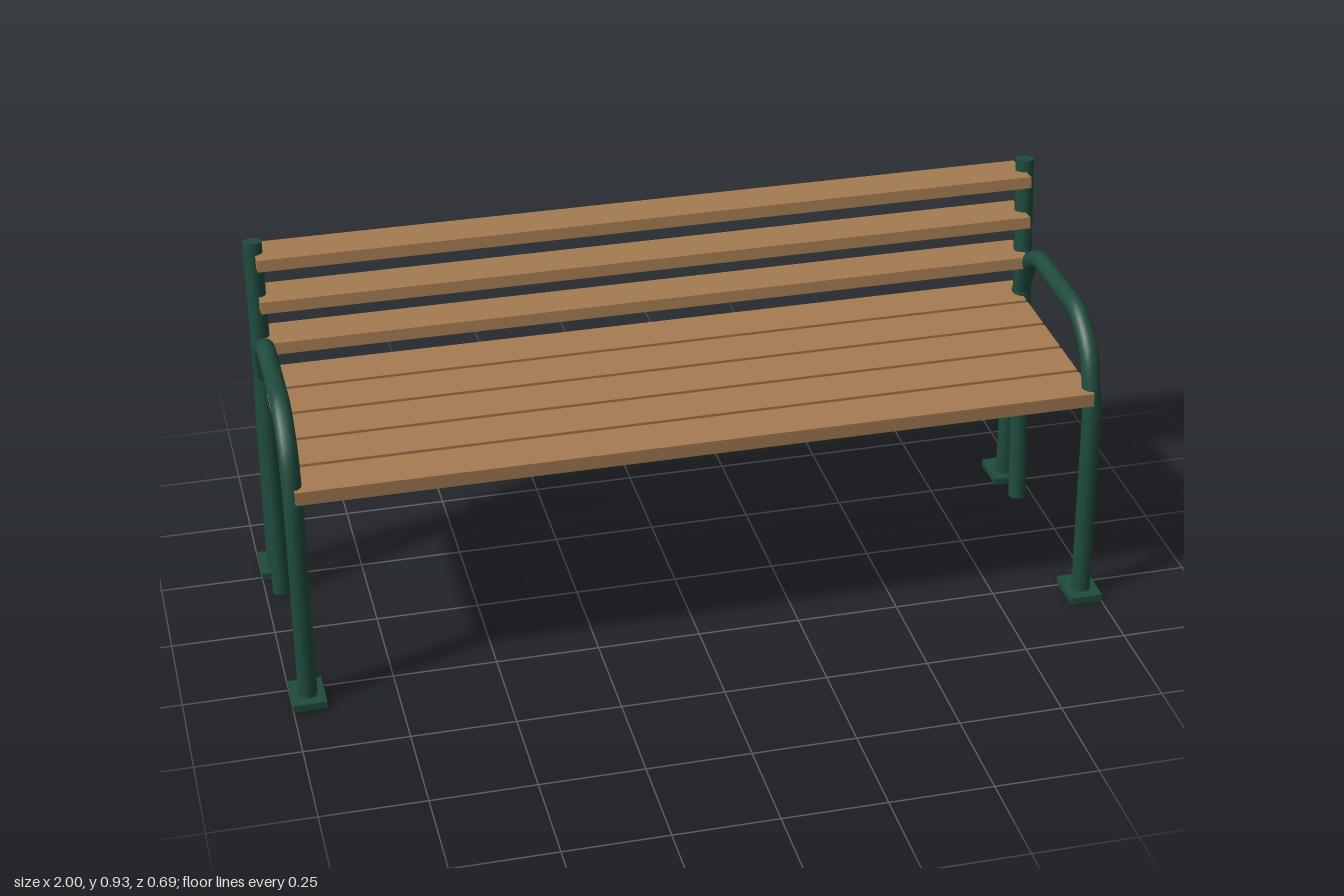
import * as THREE from 'three';

export function createModel() {
  const bench = new THREE.Group();
  bench.name = 'bench';

  const wood = new THREE.MeshStandardMaterial({ color: 0xa67c52 });
  wood.name = 'wood';
  const green = new THREE.MeshStandardMaterial({ color: 0x1f4a3d });
  green.name = 'dark green metal';

  const SIDE_X = 0.96; // centre of each metal end frame
  const TUBE_R = 0.023;
  const SLAT_LENGTH = 1.914;

  function add(parent, geometry, material, name, x = 0, y = 0, z = 0) {
    const mesh = new THREE.Mesh(geometry, material);
    mesh.name = name;
    mesh.position.set(x, y, z);
    parent.add(mesh);
    return mesh;
  }

  // Seat: five flat slats
  const seat = new THREE.Group();
  seat.name = 'seat';
  bench.add(seat);
  const seatSlat = new THREE.BoxGeometry(SLAT_LENGTH, 0.034, 0.111);
  for (let i = 0; i < 5; i++) {
    add(seat, seatSlat, wood, 'seatSlat', 0, 0.554, 0.2465 - i * 0.1225);
  }

  // Backrest: three slats lying square to the leaning posts
  const backrest = new THREE.Group();
  backrest.name = 'backrest';
  bench.add(backrest);
  const backSlat = new THREE.BoxGeometry(SLAT_LENGTH, 0.029, 0.133);
  for (let i = 0; i < 3; i++) {
    const slat = add(backrest, backSlat, wood, 'backSlat', 0, 0.671 + i * 0.1055, -0.25 - i * 0.0115);
    slat.rotation.x = -0.12;
  }

  // Bent tube forming front leg, armrest and rear leg, as [z, y]
  const path = new THREE.CatmullRomCurve3([
    [0.3, 0.01], [0.292, 0.26], [0.284, 0.495], [0.277, 0.535], [0.25, 0.63],
    [0.222, 0.668], [0.165, 0.709], [0.13, 0.719], [0.09, 0.719], [-0.07, 0.719],
    [-0.11, 0.719], [-0.145, 0.708], [-0.188, 0.679], [-0.21, 0.648],
    [-0.235, 0.585], [-0.262, 0.523], [-0.27, 0.48], [-0.278, 0.23], [-0.278, 0.01],
  ].map(([z, y]) => new THREE.Vector3(0, y, z)), false, 'centripetal');
  const legTube = new THREE.TubeGeometry(path, 72, TUBE_R, 12);

  // Leaning back post
  const postBottom = new THREE.Vector3(0, 0.0025, -0.174);
  const postTop = new THREE.Vector3(0, 0.926, -0.271);
  const postDir = postTop.clone().sub(postBottom);
  const post = new THREE.CylinderGeometry(TUBE_R, TUBE_R, postDir.length(), 12);
  const postMid = postBottom.clone().add(postTop).multiplyScalar(0.5);

  const footPlate = new THREE.BoxGeometry(0.08, 0.018, 0.105);

  for (const side of [1, -1]) {
    const frame = new THREE.Group();
    frame.name = side > 0 ? 'leftFrame' : 'rightFrame';
    frame.position.x = side * SIDE_X;
    bench.add(frame);
    add(frame, legTube, green, 'legsAndArmrest');
    const postMesh = add(frame, post, green, 'backPost', 0, postMid.y, postMid.z);
    postMesh.rotation.x = Math.atan2(postDir.z, postDir.y);
    add(frame, footPlate, green, 'frontFoot', 0, 0.011, 0.293);
    add(frame, footPlate, green, 'rearFoot', 0, 0.011, -0.287);
  }

  return bench;
}
